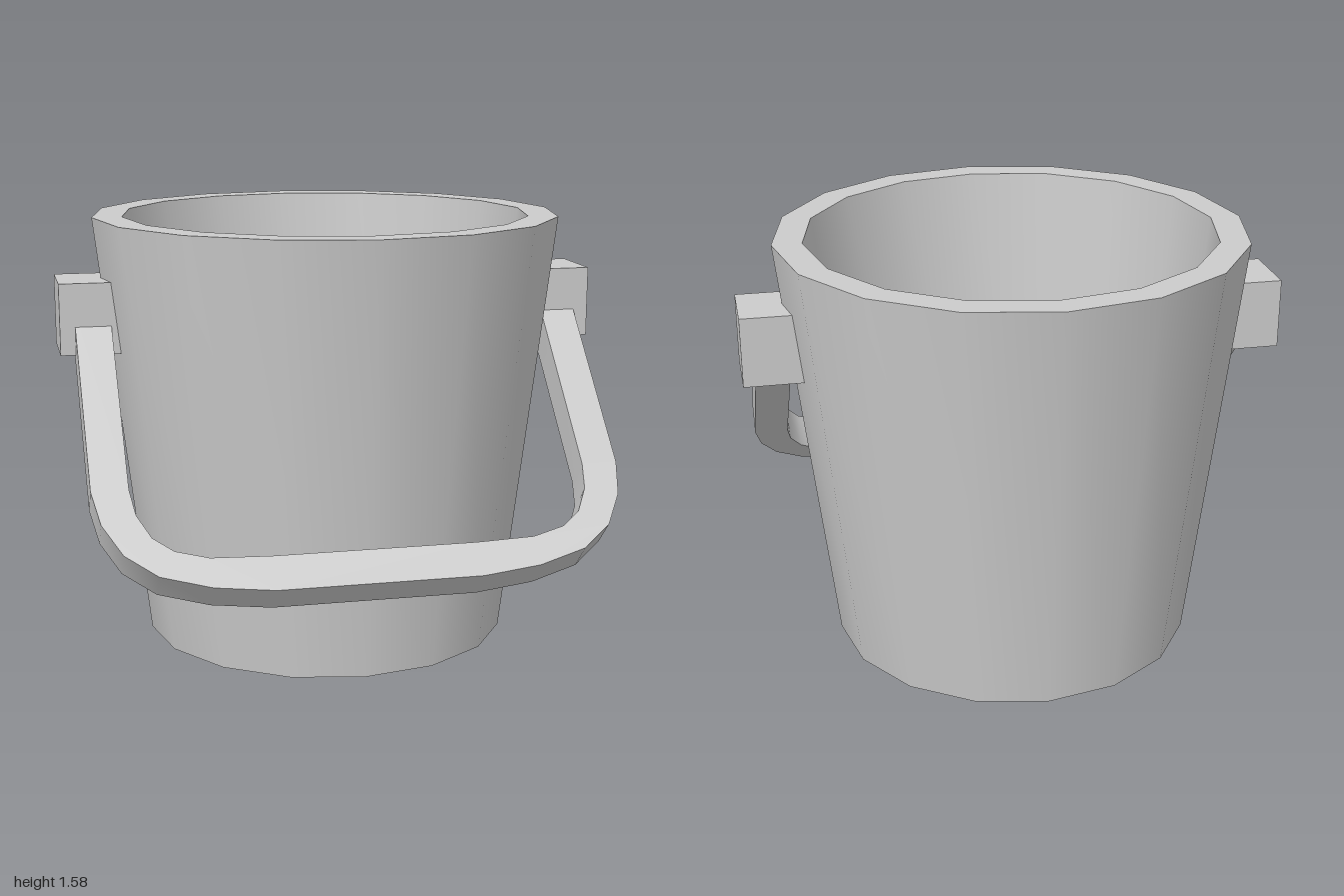
import * as THREE from 'three';
import { toCreasedNormals } from 'three/addons/utils/BufferGeometryUtils.js';

const V = (pairs) => pairs.map(([x, y]) => new THREE.Vector2(x, y));

export function createModel() {
  const model = new THREE.Group();
  model.name = 'bucket';
  const material = new THREE.MeshStandardMaterial({ color: 0xcccccc });
  const add = (name, geometry, x, y, z) => {
    const mesh = new THREE.Mesh(geometry, material);
    mesh.name = name;
    mesh.position.set(x, y, z);
    model.add(mesh);
    return mesh;
  };
  const centreZ = -0.02;
  const pivotY = 1.23;

  // Sixteen-sided tapered pail: base, outer wall, rim, inner wall, floor
  const profile = V([[0, 0], [0.68, 0], [0.865, 1.58], [0.755, 1.58], [0.605, 0.11], [0, 0.11]]);
  add('pail', toCreasedNormals(new THREE.LatheGeometry(profile, 16), 0.6), 0, 0, centreZ);

  // Square lugs holding the handle, sunk into the wall
  for (const side of [1, -1]) {
    add(side > 0 ? 'leftLug' : 'rightLug', new THREE.BoxGeometry(0.26, 0.26, 0.26), side * 0.87, pivotY, centreZ);
  }

  // Flat U-shaped handle: half outlines as [x, distance from the pivot], mirrored
  const outer = [[0.945, 0.03], [0.945, 0.8], [0.92, 0.93], [0.855, 1.05], [0.745, 1.137], [0.57, 1.19], [0.36, 1.216]];
  const inner = [[0.815, 0.03], [0.815, 0.8], [0.8, 0.9], [0.755, 0.99], [0.685, 1.045], [0.57, 1.078], [0.36, 1.086]];
  const across = (half) => [
    ...half.map(([x, d]) => [x, -d]),
    ...half.map(([x, d]) => [-x, -d]).reverse(),
  ];
  const shape = new THREE.Shape(V([...across(outer), ...across(inner).reverse()]));
  const bar = new THREE.ExtrudeGeometry(shape, { depth: 0.13, bevelEnabled: false });
  bar.translate(0, 0, -0.065);
  const handle = add('handle', toCreasedNormals(bar, 0.6), 0, pivotY + 0.01, centreZ);
  handle.rotation.x = -Math.PI / 4; // hanging forward

  return model;
}
